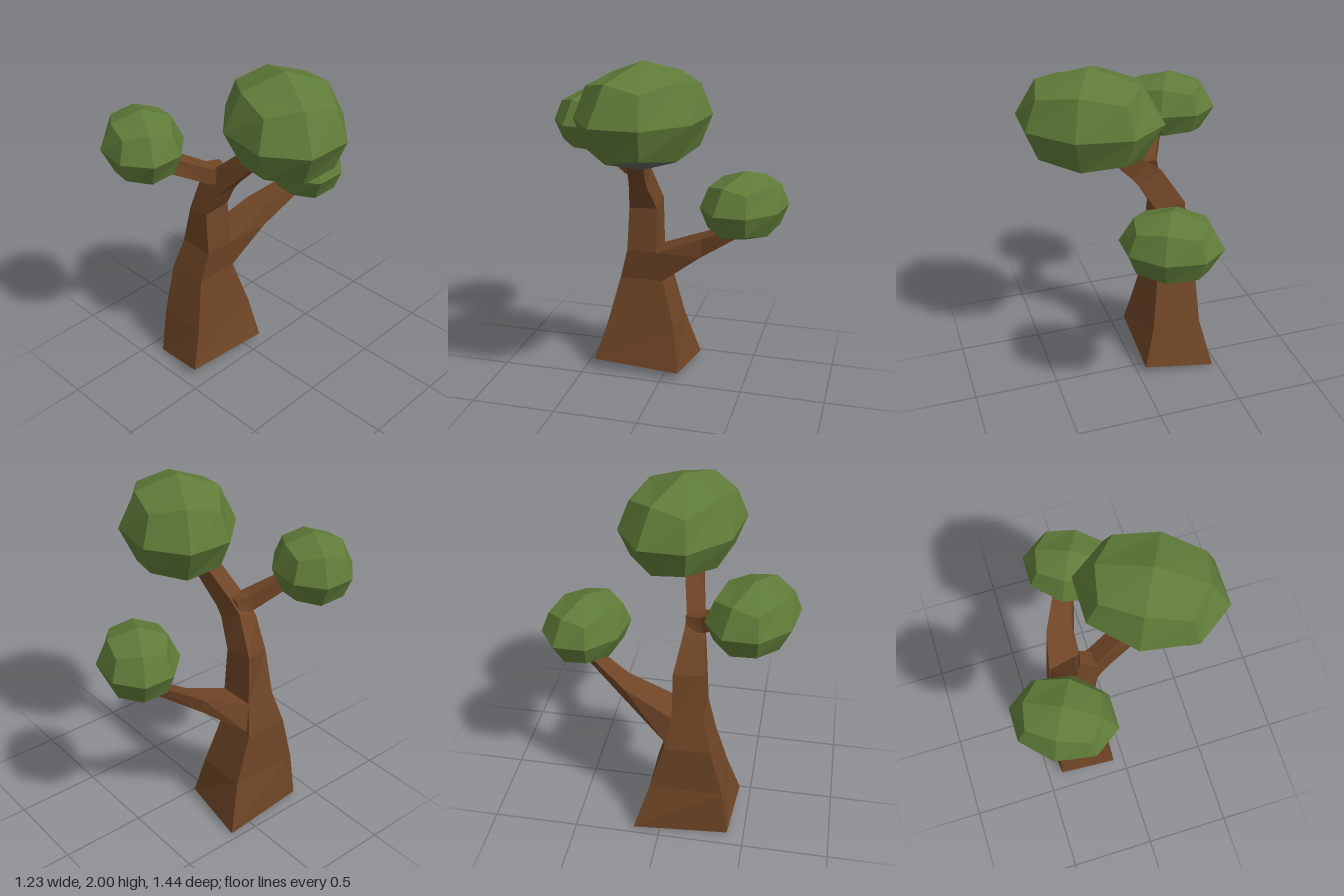
import * as THREE from 'three';

const bark = new THREE.MeshStandardMaterial({ color: 0x6f4526, flatShading: true });
bark.name = 'bark brown';
const leaf = new THREE.MeshStandardMaterial({ color: 0x5f7b38, flatShading: true });
leaf.name = 'leaf green';
const grey = new THREE.MeshStandardMaterial({ color: 0x62625e, flatShading: true });
grey.name = 'underside grey';

// Capped four-sided limb through rings of corners, counterclockwise seen from the tip
function limb(name, rings) {
  const index = [];
  for (let r = 0; r < rings.length - 1; r++) {
    for (let i = 0; i < 4; i++) {
      const a = r * 4 + i, b = r * 4 + (i + 1) % 4;
      index.push(a, b, b + 4, a, b + 4, a + 4);
    }
  }
  const t = (rings.length - 1) * 4;
  index.push(0, 2, 1, 0, 3, 2, t, t + 1, t + 2, t, t + 2, t + 3);
  const geo = new THREE.BufferGeometry();
  geo.setAttribute('position', new THREE.Float32BufferAttribute(rings.flat(2), 3));
  geo.setIndex(index);
  geo.computeVertexNormals();
  const mesh = new THREE.Mesh(geo, bark);
  mesh.name = name;
  return mesh;
}

// Level ring, starting at the front right corner
const level = (y, x0, x1, z0, z1) => [[x0, y, z1], [x1, y, z1], [x1, y, z0], [x0, y, z0]];

// Faceted ball: a cube of 2 x 2 faces pushed out to an ellipsoid
function foliage(name, x, y, z, s, patch) {
  const geo = new THREE.BoxGeometry(1, 1, 1, 2, 2, 2);
  const pos = geo.attributes.position, v = new THREE.Vector3();
  for (let i = 0; i < pos.count; i++) {
    v.fromBufferAttribute(pos, i).normalize();
    pos.setXYZ(i, v.x * 0.413 * s, v.y * 0.295 * s, v.z * 0.333 * s);
  }
  geo.computeVertexNormals();
  geo.clearGroups();
  if (patch) {
    // grey triangles on the underside
    [[0, 81, 0], [81, 3, 1], [84, 3, 0], [87, 9, 1], [96, 48, 0]].forEach((g) => geo.addGroup(...g));
  }
  const mesh = new THREE.Mesh(geo, patch ? [leaf, grey] : leaf);
  mesh.name = name;
  mesh.position.set(x, y, z);
  mesh.rotation.y = THREE.MathUtils.degToRad(-28);
  return mesh;
}

export function createModel() {
  const tree = new THREE.Group();
  tree.name = 'tree';

  // Trunk, leaning over at the top into the main branch
  tree.add(limb('trunk', [
    [[-0.41, 0.0, 0.4], [-0.07, 0.065, 0.437], [-0.045, 0.045, -0.1], [-0.465, 0.01, -0.155]],
    level(0.3, -0.402, -0.105, -0.065, 0.36),
    level(0.6, -0.397, -0.155, 0.02, 0.285),
    level(0.79, -0.347, -0.135, 0.055, 0.235),
    [[-0.28, 1.05, 0.232], [-0.155, 1.05, 0.225], [-0.155, 1.06, 0.055], [-0.335, 1.08, 0.06]],
    [[-0.21, 1.25, 0.215], [-0.085, 1.19, 0.205], [-0.055, 1.22, 0.09], [-0.2, 1.29, 0.1]],
    [[-0.12, 1.35, 0.2], [-0.02, 1.27, 0.19], [-0.015, 1.27, 0.09], [-0.12, 1.35, 0.1]],
    [[0.1, 1.55, 0.15], [0.2, 1.5, 0.15], [0.2, 1.5, 0.05], [0.1, 1.55, 0.05]],
  ]));

  // Branch reaching forward to the right-hand foliage
  tree.add(limb('frontBranch', [
    [[-0.19, 1.27, 0.12], [-0.08, 1.25, 0.15], [-0.06, 1.35, 0.13], [-0.17, 1.36, 0.1]],
    [[-0.2, 1.28, 0.2], [-0.11, 1.28, 0.24], [-0.1, 1.37, 0.22], [-0.19, 1.37, 0.18]],
    [[-0.29, 1.4, 0.38], [-0.2, 1.38, 0.42], [-0.2, 1.46, 0.39], [-0.28, 1.47, 0.35]],
  ]));

  // Tapering branch reaching back
  tree.add(limb('backBranch', [
    [[-0.155, 0.6, 0.06], [-0.38, 0.6, 0.06], [-0.347, 0.785, 0.07], [-0.135, 0.785, 0.07]],
    [[-0.155, 0.605, 0.015], [-0.37, 0.62, 0.02], [-0.347, 0.785, 0.05], [-0.135, 0.785, 0.05]],
    [[-0.12, 0.79, -0.22], [-0.27, 0.81, -0.22], [-0.285, 0.905, -0.23], [-0.13, 0.905, -0.23]],
    [[-0.04, 0.98, -0.48], [-0.13, 0.98, -0.48], [-0.15, 1.04, -0.48], [-0.05, 1.04, -0.48]],
  ]));

  tree.add(foliage('topFoliage', 0.245, 1.705, 0.02, 1, true));
  tree.add(foliage('frontFoliage', -0.362, 1.535, 0.482, 0.69, false));
  tree.add(foliage('backFoliage', -0.05, 1.155, -0.486, 0.69, false));
  return tree;
}
